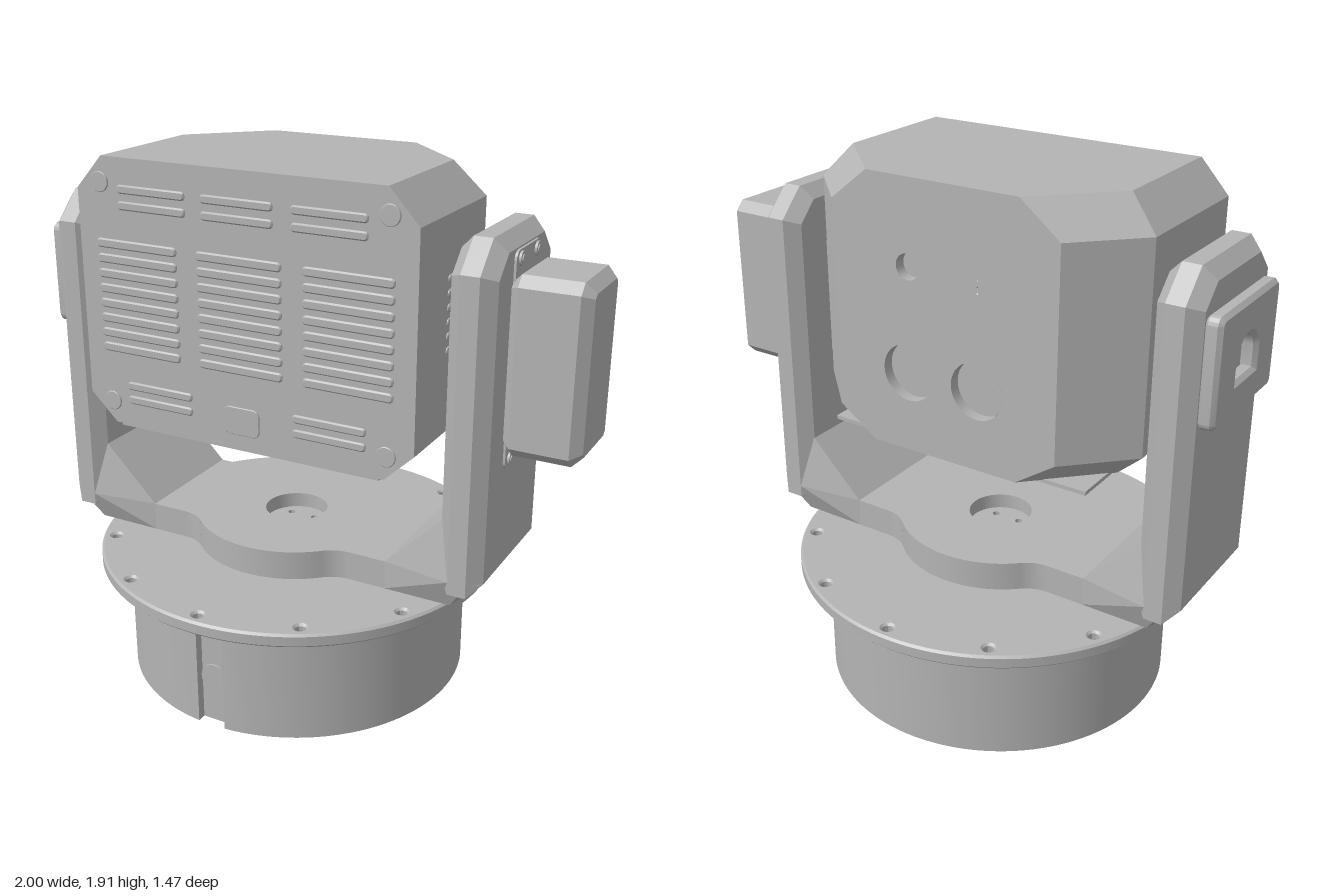
import * as THREE from 'three';
import { toCreasedNormals } from 'three/addons/utils/BufferGeometryUtils.js';
import { ConvexGeometry } from 'three/addons/geometries/ConvexGeometry.js';

const CX = -0.105; // vertical axis of the machine
const CZ = 0.011;  // depth centre of yoke and head

const polygon = (pts) => new THREE.Shape(pts.map((p) => new THREE.Vector2(p[0], p[1])));

// Rectangle with cut corners
function cutRect(w, h, c) {
  const x = w / 2, y = h / 2;
  return polygon([[-x + c, -y], [x - c, -y], [x, -y + c], [x, y - c],
    [x - c, y], [-x + c, y], [-x, y - c], [-x, -y + c]]);
}

// Rectangle with rounded corners
function roundRect(w, h, r) {
  const s = new THREE.Shape(), x = w / 2 - r, y = h / 2 - r;
  s.absarc(x, y, r, 0, Math.PI / 2);
  s.absarc(-x, y, r, Math.PI / 2, Math.PI);
  s.absarc(-x, -y, r, Math.PI, Math.PI * 1.5);
  s.absarc(x, -y, r, Math.PI * 1.5, Math.PI * 2);
  return s;
}

function circle(x, y, r) {
  const p = new THREE.Shape();
  p.absarc(x, y, r, 0, Math.PI * 2);
  return p;
}

// Extrude a shape from a to b along an axis, with both rims bevelled inwards
function slab(shape, a, b, bevel, axis, curveSegments = 8) {
  let g = new THREE.ExtrudeGeometry(shape, {
    depth: b - a - 2 * bevel, bevelEnabled: bevel > 0, bevelThickness: bevel,
    bevelSize: bevel, bevelOffset: -bevel, bevelSegments: 1, curveSegments,
  });
  g.translate(0, 0, a + bevel);
  if (axis === 'x') g.rotateY(Math.PI / 2);
  if (axis === 'y') g.rotateX(-Math.PI / 2);
  return toCreasedNormals(g, 0.5);
}

export function createModel() {
  const model = new THREE.Group();
  const grey = new THREE.MeshStandardMaterial({ color: 0xb4b4b4, side: THREE.DoubleSide });
  grey.name = 'grey metal';
  const add = (name, geo, x = 0, y = 0, z = 0) => {
    const m = new THREE.Mesh(geo, grey);
    m.name = name;
    m.position.set(x, y, z);
    model.add(m);
    return m;
  };

  // Base drum with a notch down the front
  const R = 0.63, n = 0.053, a = Math.asin(n / R);
  const drum = new THREE.Shape();
  drum.absarc(0, 0, R, -Math.PI / 2 + a, Math.PI * 1.5 - a);
  drum.lineTo(-n, -R + 0.035);
  drum.lineTo(n, -R + 0.035);
  add('baseDrum', slab(drum, 0.004, 0.43, 0, 'y', 80), CX);
  add('baseCover', new THREE.BoxGeometry(0.83, 0.006, 0.83), CX, 0.003);
  add('cablePort', slab(circle(0, 0, 0.052), 0, 0.008, 0, 'z', 24), CX, 0.18, R - 0.035);

  // Flange with a ring of twelve bolt holes
  const flange = circle(0, 0, 0.735);
  for (let i = 0; i < 12; i++) {
    const t = i * Math.PI / 6;
    flange.holes.push(circle(0.685 * Math.cos(t), 0.685 * Math.sin(t), 0.019));
  }
  add('flange', slab(flange, 0.43, 0.48, 0.008, 'y', 80), CX);

  // Yoke floor: a bar swelling into a disc, with a sunken centre
  const deck = new THREE.Shape();
  const t0 = Math.acos(0.25 / 0.37);
  deck.moveTo(0.5, -0.235);
  deck.lineTo(0.5, 0.235);
  deck.lineTo(0.345, 0.235);
  deck.quadraticCurveTo(0.29, 0.235, 0.25, 0.273);
  deck.absarc(0, 0, 0.37, t0, Math.PI - t0);
  deck.quadraticCurveTo(-0.29, 0.235, -0.345, 0.235);
  deck.lineTo(-0.5, 0.235);
  deck.lineTo(-0.5, -0.235);
  deck.lineTo(-0.345, -0.235);
  deck.quadraticCurveTo(-0.29, -0.235, -0.25, -0.273);
  deck.absarc(0, 0, 0.37, Math.PI + t0, Math.PI * 2 - t0);
  deck.quadraticCurveTo(0.29, -0.235, 0.345, -0.235);
  deck.holes.push(circle(0, 0, 0.115));
  add('yokeFloor', slab(deck, 0.49, 0.595, 0, 'y', 24), CX, 0, CZ);
  const well = circle(0, 0, 0.116);
  for (let i = 0; i < 4; i++) {
    const t = i * Math.PI / 2 + 0.78;
    well.holes.push(circle(0.07 * Math.cos(t), 0.07 * Math.sin(t), 0.014));
  }
  add('yokeWell', slab(well, 0.492, 0.54, 0, 'y', 24), CX, 0, CZ);

  // Yoke arms and the sloping feet joining them to the floor
  const armShape = polygon([[-0.279, 0.555], [0.279, 0.555], [0.279, 1.65], [0.18, 1.75],
    [-0.18, 1.75], [-0.279, 1.65]]);
  const foot = [[0.725, 0.49, 0.235], [0.84, 0.6, 0.235], [0.795, 0.6, 0.279], [0.73, 0.6, 0.279],
    [0.685, 0.8, 0.235], [0.48, 0.595, 0.235], [0.48, 0.49, 0.235]];
  for (const [side, s] of [['left', 1], ['right', -1]]) {
    add(side + 'Arm', slab(armShape, s > 0 ? 0.685 : -0.84, s > 0 ? 0.84 : -0.685, 0.045, 'x'), CX, 0, CZ);
    const pts = foot.flatMap(([x, y, z]) => [new THREE.Vector3(s * x, y, z), new THREE.Vector3(s * x, y, -z)]);
    add(side + 'Foot', new ConvexGeometry(pts), CX, 0, CZ);
  }

  // Head: an octagonal case whose rear edges are cut at 45 degrees
  const zf = 0.375, zb = -0.355, top = 1.915, low = 0.965, hw = 0.635;
  const corners = [];
  for (const s of [1, -1]) {
    for (const [edge, inner] of [[top, top - 0.115], [low, low + 0.1]]) {
      for (const [x, y, z] of [[0.53, edge, zf], [hw, inner, zf], [0.53, edge, -0.11],
        [hw, inner, -0.15], [0.285, edge, zb], [0.43, inner, zb]]) {
        corners.push(new THREE.Vector3(CX + s * x, y, z));
      }
    }
  }
  // Drop the rear cap so it can be replaced by a pierced panel
  const hull = new ConvexGeometry(corners), p = hull.attributes.position, kept = [];
  for (let i = 0; i < p.count; i += 3) {
    if (Math.max(p.getZ(i), p.getZ(i + 1), p.getZ(i + 2)) < zb + 0.01) continue;
    for (let j = i; j < i + 3; j++) kept.push(p.getX(j), p.getY(j), p.getZ(j));
  }
  const shell = new THREE.BufferGeometry();
  shell.setAttribute('position', new THREE.Float32BufferAttribute(kept, 3));
  shell.computeVertexNormals();
  add('headCase', shell);
  add('headUnderPlate', new THREE.BoxGeometry(1.02, 0.014, 0.66), CX, 0.962, 0.04);

  // Rear panel, drawn mirrored in x and turned to face backwards
  const rear = polygon([[-0.285, low], [0.285, low], [0.43, low + 0.1], [0.43, top - 0.115],
    [0.285, top], [-0.285, top], [-0.43, top - 0.115], [-0.43, low + 0.1]]);
  const ports = [[-0.13, 1.62, 0.045], [-0.135, 1.25, 0.1], [0.135, 1.25, 0.1]];
  for (const [x, y, r] of ports) {
    rear.holes.push(circle(x, y, r));
    const wall = new THREE.CylinderGeometry(r, r, 0.04, 32, 1, true).rotateX(Math.PI / 2);
    add('rearPortWall', wall, CX - x, y, zb + 0.02);
    add('rearPortFloor', new THREE.CircleGeometry(r, 32).rotateY(Math.PI), CX - x, y, zb + 0.04);
  }
  const windowPts = roundRect(0.13, 0.08, 0.025).getPoints(6).map((v) => [v.x + 0.2, v.y + 1.6]);
  rear.holes.push(polygon(windowPts));
  add('rearPanel', new THREE.ShapeGeometry(rear, 32).rotateY(Math.PI), CX, 0, zb);
  add('rearWindowFloor', new THREE.BoxGeometry(0.15, 0.1, 0.01), CX - 0.2, 1.6, zb + 0.03);

  // Front louvres
  const wide = slab(roundRect(0.324, 0.032, 0.014), 0.37, 0.383, 0.005, 'z');
  const narrow = slab(roundRect(0.27, 0.03, 0.013), 0.37, 0.383, 0.005, 'z');
  [-0.508, -0.108, 0.292].forEach((x, col) => {
    for (let i = 0; i < 8; i++) add('louvre', wide, x, 1.62 - i * 0.053);
    const nx = [-0.44, -0.11, 0.225][col];
    for (const y of [1.81, 1.755]) add('louvre', narrow, nx, y);
    if (col !== 1) for (const y of [1.115, 1.063]) add('louvre', narrow, nx, y);
  });
  // Front corner screws and button
  const screw = slab(circle(0, 0, 0.035), 0.37, 0.381, 0.002, 'z', 16);
  for (const x of [-0.645, 0.432]) for (const y of [1.828, 1.047]) add('cornerScrew', screw, x, y);
  add('frontButton', slab(roundRect(0.14, 0.1, 0.025), 0.37, 0.381, 0.002, 'z'), -0.108, 1.065);

  // Side louvres
  const sideSlat = slab(roundRect(0.14, 0.026, 0.012), -0.005, 0.006, 0.003, 'x');
  for (const s of [1, -1]) {
    for (let i = 0; i < 6; i++) add('sideLouvre', sideSlat, CX + s * hw, 1.59 - i * 0.048, 0.08);
  }

  // Tilt shaft on the right, tilt hub with bolts on the left
  const rod = (r, len) => new THREE.CylinderGeometry(r, r, len, 32).rotateZ(Math.PI / 2);
  add('tiltShaft', rod(0.068, 0.08), -0.765, 1.44, CZ);
  add('hubShaft', rod(0.03, 0.04), 0.54, 1.44, CZ);
  add('tiltHub', new THREE.BoxGeometry(0.045, 0.42, 0.21), 0.5575, 1.33, CZ);
  for (const y of [1.58, 1.075]) for (const z of [-0.06, 0.06]) {
    add('hubBolt', rod(0.026, 0.03), 0.57, y, CZ + z);
  }

  // Motor box with mounting tabs on the outside of the left arm
  add('motorBox', slab(cutRect(0.305, 0.605, 0.035), 0.73, 1.0, 0.035, 'x'), 0, 1.33, CZ);
  add('motorTabs', slab(roundRect(0.225, 0.735, 0.03), 0.73, 0.743, 0, 'x'), 0, 1.332, CZ);
  for (const y of [1.67, 0.997]) for (const z of [-0.072, 0.072]) {
    add('tabScrew', rod(0.024, 0.012), 0.745, y, CZ + z);
    add('tabScrewHead', rod(0.014, 0.012), 0.748, y, CZ + z);
  }

  // Bearing cap on the outside of the right arm, with an arched opening
  const cap = roundRect(0.45, 0.37, 0.03);
  const arch = new THREE.Path();
  arch.absarc(0, -0.01, 0.075, 0, Math.PI);
  arch.lineTo(-0.075, -0.07);
  arch.lineTo(0.075, -0.07);
  cap.holes.push(arch);
  add('bearingCap', slab(cap, -1.0, -0.94, 0.014, 'x'), 0, 1.435, 0);
  for (const y of [-0.145, 0.145]) for (const z of [-0.185, 0.185]) {
    add('capScrew', rod(0.02, 0.01), -0.995, 1.435 + y, z);
  }
  return model;
}
